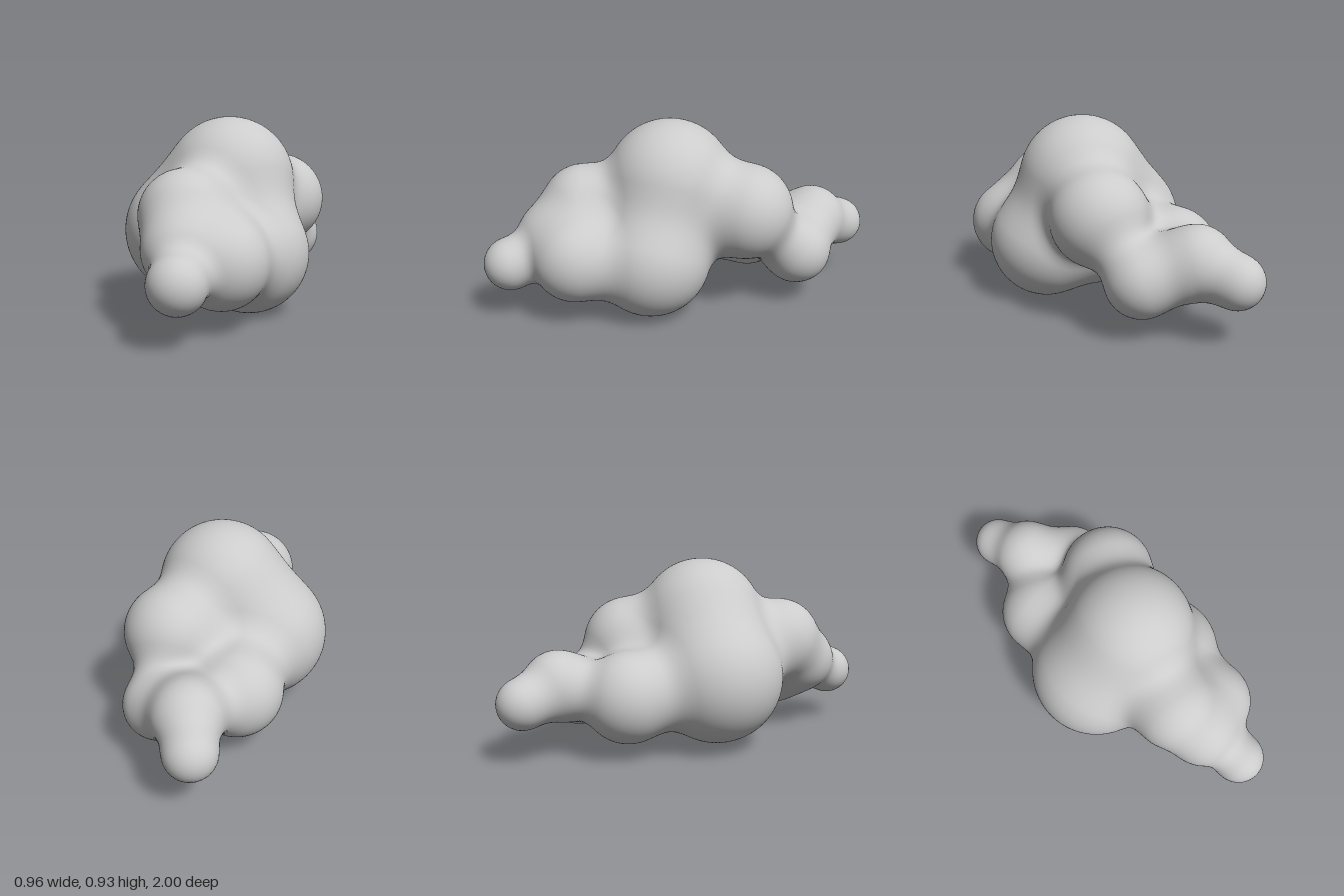
import * as THREE from 'three';

// Lobes of the body: x, y, z, radius, softness of the joint to the lobes before it
const LOBES = [
  [0.06, 0.62, 0.08, 0.315, 0],       // crown
  [-0.15, 0.365, 0.06, 0.33, 0.14],   // right flank
  [0.19, 0.29, 0.21, 0.288, 0.15],    // left flank
  [-0.035, 0.5, 0.49, 0.214, 0.13],   // upper front
  [0.155, 0.315, 0.57, 0.214, 0.12],  // lower front
  [0.0, 0.37, 0.665, 0.17, 0.1],      // front neck
  [0.055, 0.277, 0.871, 0.129, 0.08], // front tip
  [-0.105, 0.3, -0.39, 0.224, 0.15],  // lower back
  [0.237, 0.5, -0.25, 0.235, 0.12],   // upper back
  [0.235, 0.27, -0.53, 0.172, 0.13],  // back side knob
  [0.055, 0.352, -0.69, 0.174, 0.12], // back neck
  [0.0, 0.3, -0.875, 0.125, 0.08],    // back tip
];
const STEP = 0.018;

// Smoothly blended distance to all lobes
function field(x, y, z) {
  let d = 10;
  for (const [cx, cy, cz, r, soft] of LOBES) {
    const s = Math.hypot(x - cx, y - cy, z - cz) - r;
    const overlap = Math.max(soft - Math.abs(d - s), 0);
    d = Math.min(d, s) - (overlap > 0 ? (overlap * overlap) / (4 * soft) : 0);
  }
  return d;
}

function gradient(p) {
  const e = 0.002;
  return new THREE.Vector3(
    field(p.x + e, p.y, p.z) - field(p.x - e, p.y, p.z),
    field(p.x, p.y + e, p.z) - field(p.x, p.y - e, p.z),
    field(p.x, p.y, p.z + e) - field(p.x, p.y, p.z - e)
  ).divideScalar(2 * e);
}

// Skin the field: one vertex per crossed cell, one quad per crossed grid edge
function blendedSkin() {
  const origin = [-0.56, -0.08, -1.08];
  const n = [1.12, 1.1, 2.16].map((len) => Math.ceil(len / STEP));
  const stride = [1, n[0], n[0] * n[1]];
  const values = new Float32Array(n[0] * n[1] * n[2]);
  const at = (i, axis) => origin[axis] + i * STEP;
  const eachNode = (from, visit) => {
    for (let k = from; k < n[2] - 1; k++)
      for (let j = from; j < n[1] - 1; j++)
        for (let i = from; i < n[0] - 1; i++)
          visit(i, j, k, i + j * stride[1] + k * stride[2]);
  };
  values.fill(1);
  eachNode(0, (i, j, k, id) => { values[id] = field(at(i, 0), at(j, 1), at(k, 2)); });

  const positions = [], normals = [], indices = [];
  const cellVertex = new Map();
  const vertexOf = (id) => {
    if (!cellVertex.has(id)) {
      const k = Math.floor(id / stride[2]);
      const j = Math.floor((id % stride[2]) / stride[1]);
      const i = id % stride[1];
      // Start from the mean of the edge crossings, then settle on the surface
      const p = new THREE.Vector3();
      let count = 0;
      for (let c = 0; c < 8; c++) {
        for (let a = 0; a < 3; a++) {
          if (c & (1 << a)) continue;
          const corner = [c & 1, (c >> 1) & 1, (c >> 2) & 1];
          const q = id + corner[0] + corner[1] * stride[1] + corner[2] * stride[2];
          const f0 = values[q], f1 = values[q + stride[a]];
          if ((f0 < 0) === (f1 < 0)) continue;
          corner[a] += f0 / (f0 - f1);
          p.add(new THREE.Vector3(...corner));
          count++;
        }
      }
      p.divideScalar(count);
      p.set(at(i + p.x, 0), at(j + p.y, 1), at(k + p.z, 2));
      for (let t = 0; t < 3; t++) {
        const g = gradient(p);
        p.addScaledVector(g, -field(p.x, p.y, p.z) / Math.max(g.lengthSq(), 0.2));
      }
      cellVertex.set(id, positions.length / 3);
      positions.push(p.x, p.y, p.z);
      normals.push(...gradient(p).normalize().toArray());
    }
    return cellVertex.get(id);
  };

  eachNode(1, (i, j, k, id) => {
    for (let a = 0; a < 3; a++) {
      const inside = values[id] < 0;
      if (inside === values[id + stride[a]] < 0) continue;
      const b = stride[(a + 1) % 3], c = stride[(a + 2) % 3];
      const q = [id, id - b, id - b - c, id - c].map(vertexOf);
      if (!inside) q.reverse();
      indices.push(q[0], q[1], q[2], q[0], q[2], q[3]);
    }
  });

  const geometry = new THREE.BufferGeometry();
  geometry.setAttribute('position', new THREE.Float32BufferAttribute(positions, 3));
  geometry.setAttribute('normal', new THREE.Float32BufferAttribute(normals, 3));
  geometry.setIndex(indices);
  return geometry;
}

export function createModel() {
  const group = new THREE.Group();
  group.name = 'blobCluster';
  const body = new THREE.Mesh(blendedSkin(), new THREE.MeshStandardMaterial({ color: 0xcccccc }));
  body.name = 'blendedBody';
  group.add(body);
  return group;
}
